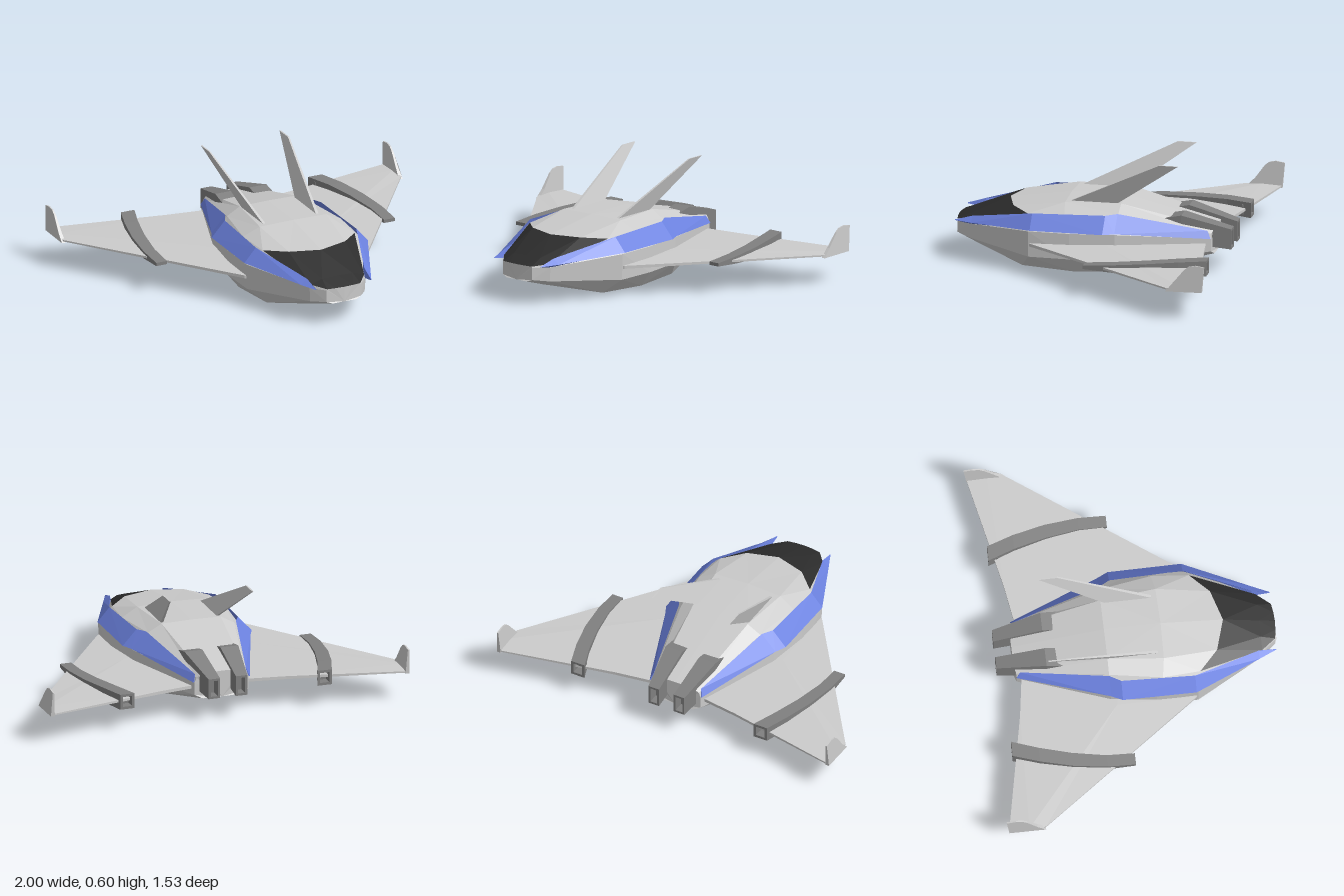
import * as THREE from 'three';

const paint = (color) => new THREE.MeshStandardMaterial({ color, flatShading: true, side: THREE.DoubleSide });
const grey = paint(0xcccccc), dark = paint(0x808080), glass = paint(0x2c2c2c), blue = paint(0x6c82e0);

// Skins rows of points. Each row runs counter-clockwise seen from the first row's end.
function loft(name, material, rows, keep = () => true, caps = true) {
  const pos = [], n = rows[0].length;
  const dist = (p, q) => Math.hypot(p[0] - q[0], p[1] - q[1], p[2] - q[2]);
  const tri = (...pts) => pts.forEach((p) => pos.push(...p));
  for (let j = 0; j < rows.length - 1; j++) {
    for (let i = 0; i < n; i++) {
      if (!keep(j, i)) continue;
      const k = (i + 1) % n;
      const a = rows[j][i], a2 = rows[j][k], b = rows[j + 1][i], b2 = rows[j + 1][k];
      if (dist(a2, b) <= dist(a, b2)) { tri(a, b, a2); tri(a2, b, b2); }
      else { tri(a, b, b2); tri(a, b2, a2); }
    }
  }
  if (caps) {
    const s = rows[0], e = rows[rows.length - 1];
    for (let i = 1; i < n - 1; i++) { tri(s[0], s[i], s[i + 1]); tri(e[0], e[i + 1], e[i]); }
  }
  const geo = new THREE.BufferGeometry();
  geo.setAttribute('position', new THREE.Float32BufferAttribute(pos, 3));
  geo.computeVertexNormals();
  const mesh = new THREE.Mesh(geo, material);
  mesh.name = name;
  return mesh;
}

const mirrorRows = (rows) => rows.map((r) => r.map(([x, y, z]) => [-x, y, z]).reverse());

// Box section at z, counter-clockwise from the front
const boxRow = (x0, x1, y0, y1, z) => [[x0, y0, z], [x1, y0, z], [x1, y1, z], [x0, y1, z]];

// Adds a recessed opening behind the last box section
function withOpening(sections, rim, depth) {
  const [x0, x1, y0, y1, z] = sections[sections.length - 1];
  const inner = [x0 + rim, x1 - rim, y0 + rim, y1 - rim];
  return [...sections, [...inner, z], [...inner, z + depth]].map((s) => boxRow(...s));
}

export function createModel() {
  const ship = new THREE.Group();
  ship.name = 'spacecraft';

  const addPair = (name, material, rows) => {
    ship.add(loft('left' + name, material, rows));
    ship.add(loft('right' + name, material, mirrorRows(rows)));
  };

  // Hull half sections: keel, keel corner, lower side, upper side, shoulder, roof edge, roof centre
  const halves = [
    [[0, .13, .765], [.07, .13, .765], [.1, .14, .755], [.1, .205, .755], [.097, .212, .755], [.05, .213, .762], [0, .213, .765]],
    [[0, .105, .68], [.11, .105, .68], [.16, .128, .68], [.163, .205, .68], [.157, .222, .68], [.09, .243, .68], [0, .246, .68]],
    [[0, .018, .38], [.26, .025, .37], [.35, .1, .32], [.355, .24, .32], [.27, .313, .34], [.165, .322, .44], [0, .322, .49]],
    [[0, .004, .09], [.285, .015, .09], [.355, .1, .1], [.355, .24, .1], [.285, .32, .14], [.195, .365, .155], [0, .37, .16]],
    [[0, .014, -.2], [.25, .02, -.2], [.325, .1, -.14], [.325, .24, -.14], [.24, .325, -.14], [.165, .367, -.14], [0, .37, -.14]],
    [[0, .108, -.63], [.11, .11, -.63], [.15, .13, -.62], [.15, .2, -.62], [.14, .225, -.62], [.11, .25, -.63], [0, .252, -.63]],
  ];
  const hullRows = halves.map((h) => [...h, ...h.slice(1, 6).reverse().map(([x, y, z]) => [-x, y, z])]);
  const isCanopy = (j, i) => j < 2 && i >= 4 && i <= 7;
  ship.add(loft('hull', grey, hullRows, (j, i) => !isCanopy(j, i)));
  ship.add(loft('canopy', glass, hullRows, isCanopy, false));

  // Side armour: lower inner edge, outer edge, upper edge
  addPair('SideArmour', blue, [
    [[.158, .217, .755], [.162, .219, .755], [.16, .222, .755]],
    [[.158, .2, .66], [.205, .222, .66], [.168, .25, .66]],
    [[.32, .236, .31], [.362, .246, .31], [.295, .322, .31]],
    [[.32, .236, -.08], [.36, .246, -.08], [.283, .33, -.08]],
    [[.29, .236, -.14], [.332, .246, -.14], [.25, .334, -.14]],
    [[.14, .195, -.61], [.157, .2, -.62], [.142, .24, -.6]],
  ]);

  // Wings, tip to root
  const wingRow = (x, zLead, zTrail, half, xTrail = x) => {
    const zm = zLead + (zTrail - zLead) * .45, xm = (x + xTrail) / 2, y = .167, e = half * .45;
    return [[xTrail, y - e, zTrail], [xTrail, y + e, zTrail], [xm, y + half, zm],
      [x, y + e, zLead], [x, y - e, zLead], [xm, y - half, zm]];
  };
  addPair('Wing', grey, [
    wingRow(.99, -.56, -.755, .009),
    wingRow(.36, .31, -.625, .018),
    wingRow(.3, .34, -.59, .019, .13),
  ]);

  // Upturned wing tips
  const tipOutline = [[.155, -.56], [.158, -.755], [.295, -.768], [.302, -.72], [.295, -.685], [.275, -.66], [.2, -.605]];
  addPair('Winglet', grey, [0, 1].map((inner) => tipOutline.map(([y, z]) =>
    [inner ? .978 + (y - .155) * .06 : 1 - (y - .155) * .04, y, z])));

  // Curved bands across the wings
  addPair('WingBand', dark, withOpening([
    [.637, .7, .158, .176, -.05],
    [.635, .7, .147, .187, -.2],
    [.605, .678, .136, .198, -.38],
    [.56, .637, .128, .207, -.55],
    [.51, .59, .125, .208, -.69],
  ], .014, .05));

  // Swept tail fins, tip to base
  const finRow = (x, y, zf, zb, t) => [[x + t, y, zf], [x + t, y, zb], [x - t, y, zb], [x - t, y, zf]];
  addPair('TailFin', grey, [
    finRow(.231, .608, -.36, -.46, .004),
    finRow(.152, .355, .15, -.105, .008),
  ]);

  // Rear engines with open nozzles
  addPair('Engine', dark, withOpening([
    [.05, .153, .24, .298, -.37],
    [.05, .15, .17, .317, -.46],
    [.044, .108, .135, .245, -.72],
  ], .012, .06));

  return ship;
}
